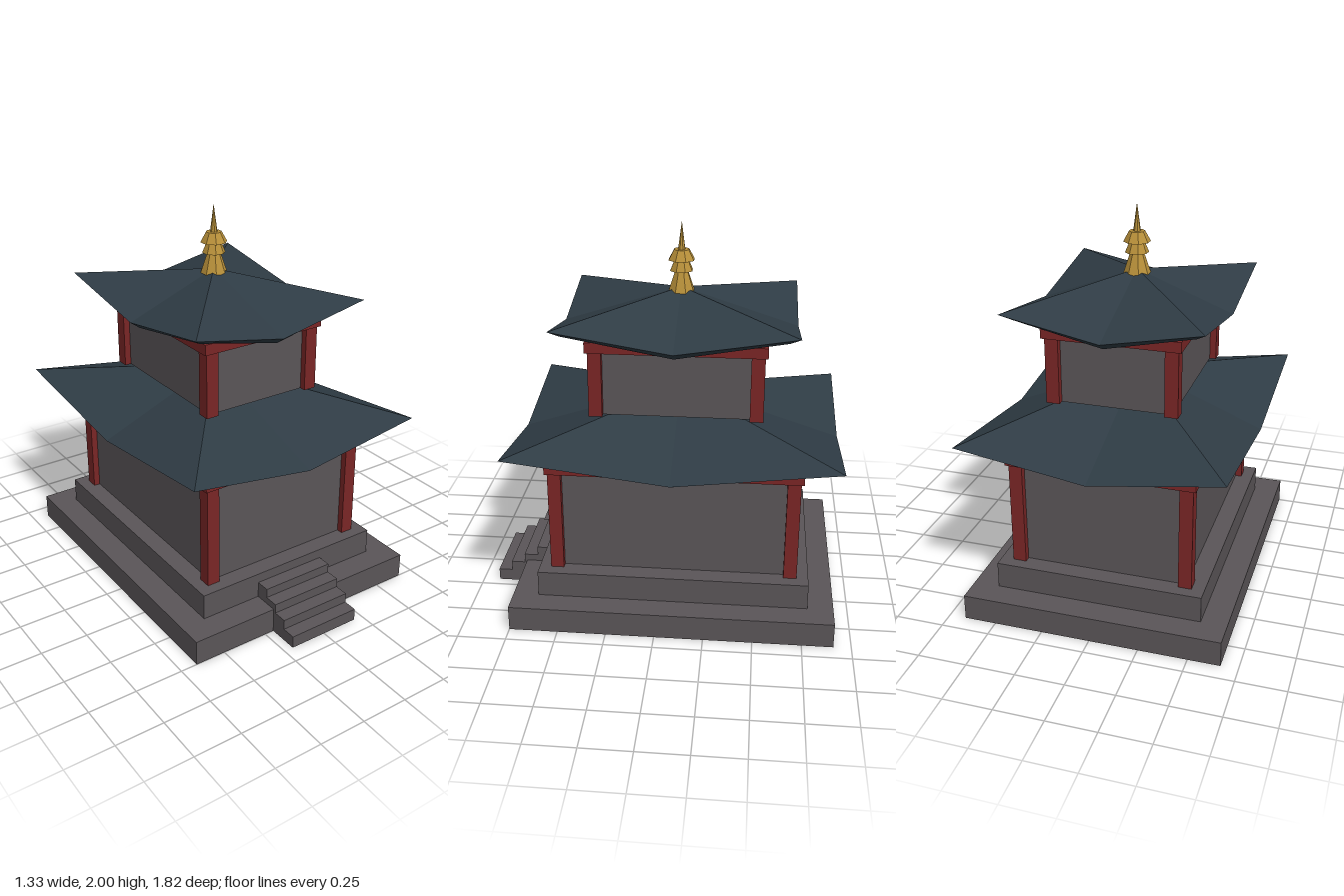
import * as THREE from 'three';

const material = (name, color) => {
  const m = new THREE.MeshStandardMaterial({ color, flatShading: true });
  m.name = name;
  return m;
};

// Hipped roof: corners lifted above the middle of each eave, with an inset underside
function roofGeometry({ hx, hz, inset, apex, corner, middle, drop, underApex }) {
  const dirs = [[1, 0], [1, -1], [0, -1], [-1, -1], [-1, 0], [-1, 1], [0, 1], [1, 1]];
  const ring = (x, z, dy) => dirs.map(([dx, dz]) => [dx * x, (dx && dz ? corner : middle) - dy, dz * z]);
  const top = ring(hx, hz, 0);
  const low = ring(hx - inset, hz - inset, drop);
  const points = [];
  for (let i = 0; i < 8; i++) {
    const j = (i + 1) % 8;
    points.push([0, apex, 0], top[i], top[j]); // tiled slope
    points.push(top[i], low[i], low[j], top[i], low[j], top[j]); // eave edge
    points.push([0, underApex, 0], low[j], low[i]); // underside
  }
  const geometry = new THREE.BufferGeometry();
  geometry.setAttribute('position', new THREE.Float32BufferAttribute(points.flat(), 3));
  geometry.computeVertexNormals();
  return geometry;
}

export function createModel() {
  const stone = material('stone', 0x5a5558);
  const red = material('red timber', 0x7a2626);
  const tile = material('roof tile', 0x2f3c45);
  const gold = material('gold', 0xb8903a);

  const model = new THREE.Group();
  model.name = 'pagoda';
  const tower = new THREE.Group();
  tower.name = 'tower';
  tower.position.z = -0.08;
  model.add(tower);

  const add = (parent, name, geometry, mat) => {
    const mesh = new THREE.Mesh(geometry, mat);
    mesh.name = name;
    parent.add(mesh);
    return mesh;
  };
  // Box given by half width, half depth and its bottom and top heights
  const block = (parent, name, hx, hz, y0, y1, mat, x = 0, z = 0) =>
    add(parent, name, new THREE.BoxGeometry(hx * 2, y1 - y0, hz * 2), mat).position.set(x, (y0 + y1) / 2, z);

  // Stepped base
  block(tower, 'lowerPlatform', 0.663, 0.83, 0, 0.132, stone);
  block(tower, 'upperPlatform', 0.531, 0.697, 0.132, 0.268, stone);

  // Front stairs
  const stairs = new THREE.Group();
  stairs.name = 'stairs';
  model.add(stairs);
  [0.065, 0.118, 0.168, 0.217].forEach((height, i) => {
    const front = 0.912 - i * 0.074;
    block(stairs, 'step', 0.2, (front - 0.6) / 2, 0, height, stone, 0, (front + 0.6) / 2);
  });

  // Two storeys, each with walls, corner posts, a lintel and a roof
  const storeys = [
    {
      name: 'lowerStorey', hx: 0.467, hz: 0.637, y0: 0.268, y1: 0.81, y2: 0.865,
      roof: { hx: 0.663, hz: 0.83, inset: 0.067, apex: 1.134, corner: 0.965, middle: 0.865, drop: 0.035, underApex: 0.98 },
    },
    {
      name: 'upperStorey', hx: 0.335, hz: 0.437, y0: 1.075, y1: 1.415, y2: 1.47,
      roof: { hx: 0.497, hz: 0.598, inset: 0.052, apex: 1.665, corner: 1.57, middle: 1.473, drop: 0.038, underApex: 1.58 },
    },
  ];
  for (const { name, hx, hz, y0, y1, y2, roof } of storeys) {
    const storey = new THREE.Group();
    storey.name = name;
    tower.add(storey);
    const p = 0.034; // half a post
    block(storey, 'walls', hx - p, hz - p, y0, y1, stone);
    for (const sx of [-1, 1]) {
      for (const sz of [-1, 1]) block(storey, 'cornerPost', p, p, y0, y1, red, sx * (hx - p), sz * (hz - p));
    }
    block(storey, 'lintel', hx + 0.015, hz + 0.013, y1, y2, red);
    add(storey, 'roof', roofGeometry(roof), tile);
  }

  // Octagonal finial: three flared tiers and a spike
  const finial = new THREE.Group();
  finial.name = 'finial';
  tower.add(finial);
  const tiers = [
    ['finialBase', 0.032, 0.069, 1.645, 1.755],
    ['finialTier', 0.036, 0.06, 1.75, 1.808],
    ['finialTier', 0.04, 0.069, 1.805, 1.858],
    ['finialSpike', 0, 0.019, 1.858, 2],
  ];
  for (const [name, rTop, rBottom, y0, y1] of tiers) {
    const tier = add(finial, name, new THREE.CylinderGeometry(rTop, rBottom, y1 - y0, 8), gold);
    tier.position.y = (y0 + y1) / 2;
    tier.rotation.y = Math.PI / 8;
  }
  return model;
}
